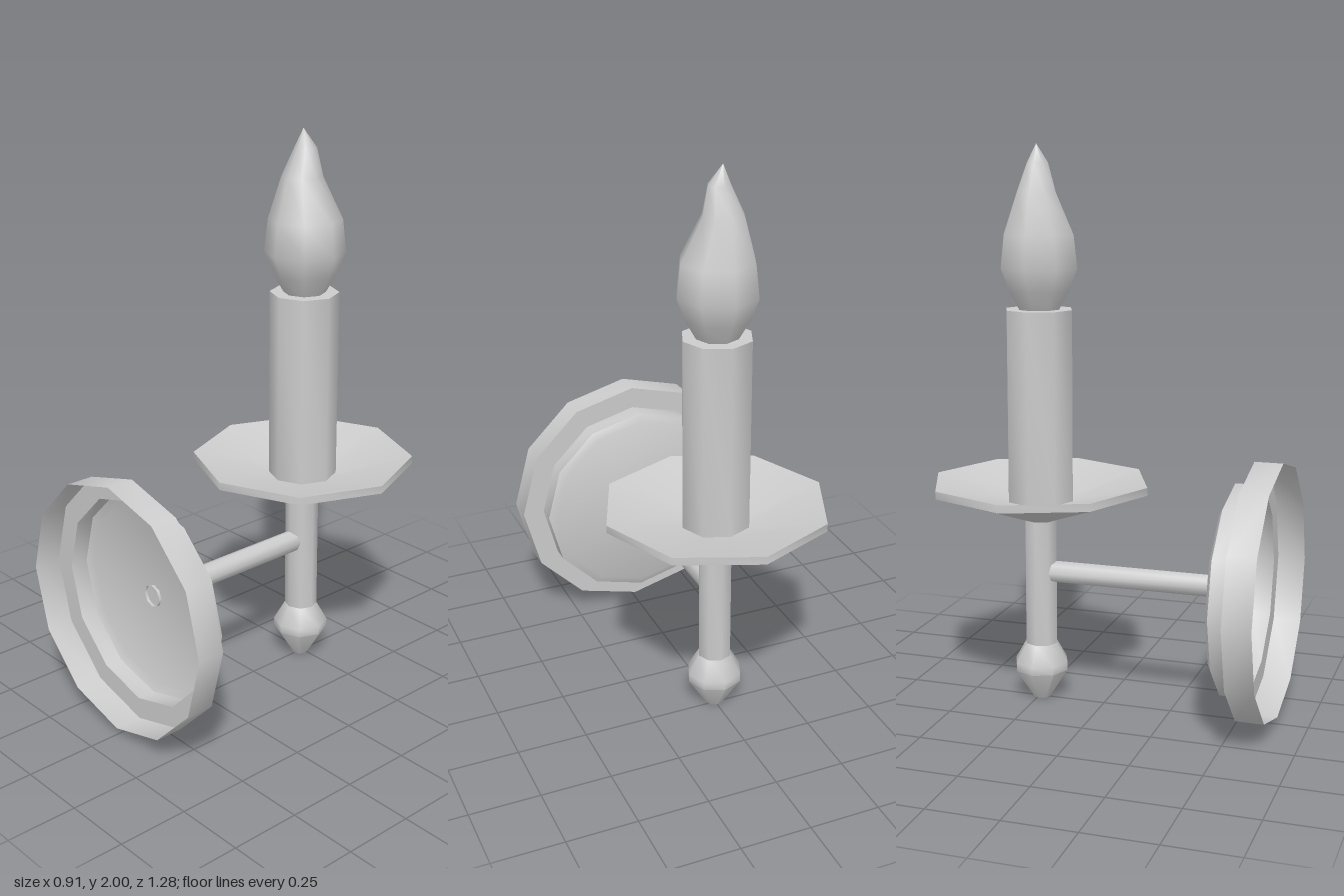
import * as THREE from 'three';
import { toCreasedNormals } from 'three/addons/utils/BufferGeometryUtils.js';

const material = new THREE.MeshStandardMaterial({ color: 0xcccccc, side: THREE.DoubleSide });

// Turned shape from [radius, height] pairs listed bottom to top
function turned(profile, sides) {
  return new THREE.LatheGeometry(profile.map(([r, y]) => new THREE.Vector2(r, y)), sides);
}

function part(name, geometry) {
  const mesh = new THREE.Mesh(toCreasedNormals(geometry, 0.9), material);
  mesh.name = name;
  return mesh;
}

export function createModel() {
  const model = new THREE.Group();
  model.name = 'candleWallSconce';

  // Hollow stepped plate, open towards the wall
  const plate = part('wallPlate', turned([
    [0.455, 0], [0.455, 0.1], [0.375, 0.1], [0.375, 0.165], [0.345, 0.18], [0, 0.18],
  ], 12).rotateX(-Math.PI / 2));
  plate.position.set(0, 0.48, 0.64);

  // Horizontal tube from the plate into the stem
  const arm = part('arm', turned([[0.04, 0], [0.04, 0.685]], 8).rotateX(-Math.PI / 2));
  arm.position.set(0, 0.48, 0.47);
  model.add(plate, arm);

  // Upright parts share one axis
  const upright = new THREE.Group();
  upright.name = 'candleHolder';
  upright.position.z = -0.24;
  model.add(upright);

  upright.add(part('finial', turned([
    [0, 0], [0.03, 0], [0.1, 0.11], [0.1, 0.14], [0.06, 0.21],
  ], 8)));
  upright.add(part('stem', turned([[0.06, 0.21], [0.06, 0.68]], 8)));
  upright.add(part('dripDish', turned([
    [0, 0.67], [0.06, 0.672], [0.2, 0.72], [0.4, 0.787], [0.4, 0.815], [0.12, 0.745], [0, 0.73],
  ], 8)));
  upright.add(part('candle', turned([[0.123, 0.74], [0.123, 1.43], [0, 1.43]], 8)));

  // Flame-shaped bulb whose tip sways sideways
  const flame = turned([
    [0, 1.42], [0.075, 1.43], [0.112, 1.495], [0.143, 1.575],
    [0.13, 1.69], [0.072, 1.835], [0.039, 1.935], [0, 2],
  ], 8);
  const sway = { 1.835: -0.018, 1.935: -0.003, 2: -0.015 };
  const pos = flame.attributes.position;
  for (let i = 0; i < pos.count; i++) {
    pos.setX(i, pos.getX(i) + (sway[Number(pos.getY(i).toFixed(3))] ?? 0));
  }
  upright.add(part('flameBulb', flame));

  return model;
}
